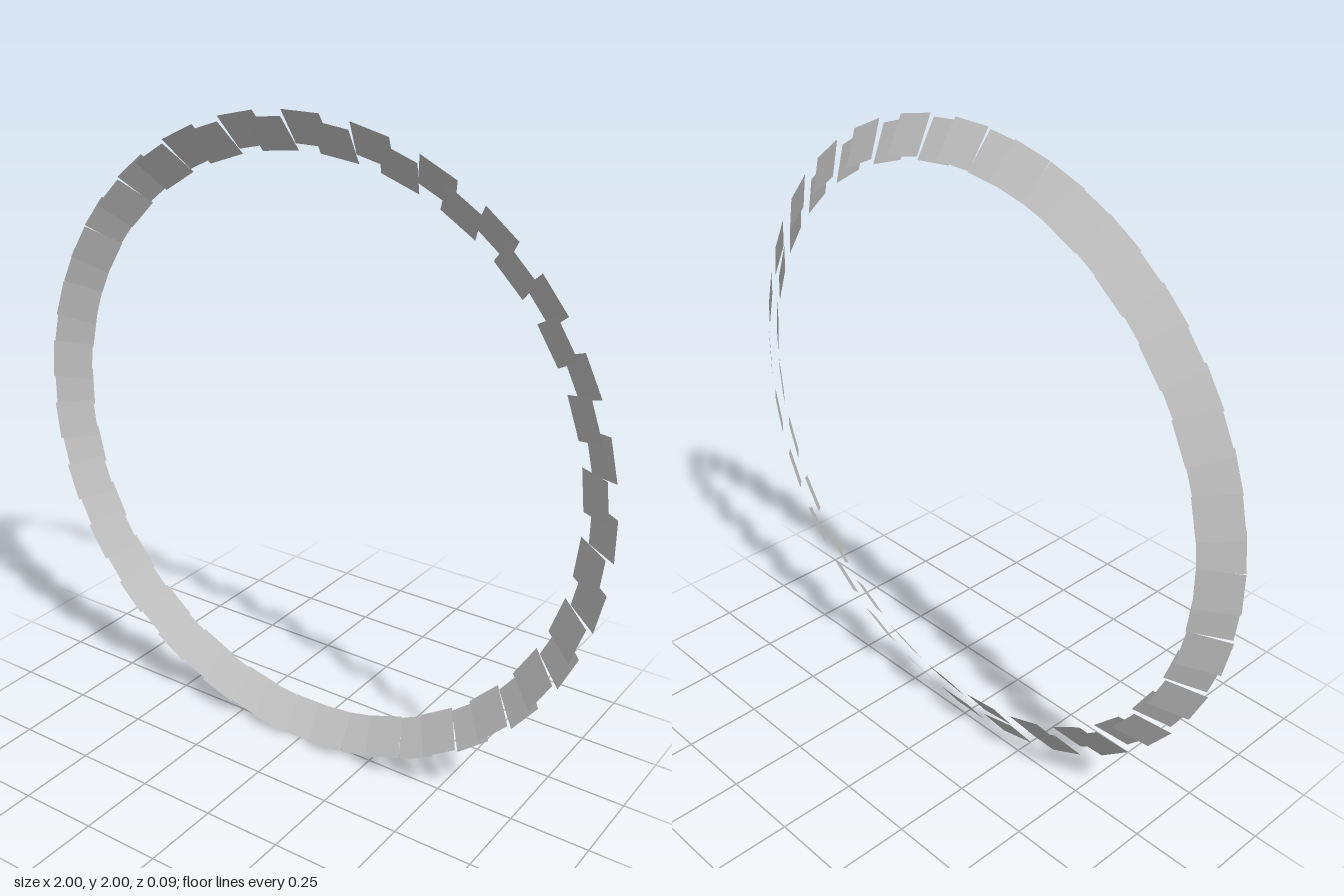
import * as THREE from 'three';

const COUNT = 56;       // tiles around the ring
const SIZE = 0.126;     // side of each square tile
const TILT = THREE.MathUtils.degToRad(35);
const GAP = 0.027;      // distance between the two tile layers, along the tile normal

export function createModel() {
  const ring = new THREE.Group();
  ring.name = 'tileRing';
  ring.position.y = 1;

  const material = new THREE.MeshStandardMaterial({
    color: 0xcccccc, side: THREE.DoubleSide, flatShading: true,
  });
  const tileGeometry = new THREE.PlaneGeometry(SIZE, SIZE);

  // the rear layer's outer edge touches radius 1
  const rearRadius = 1 - (SIZE / 2) * Math.cos(TILT);

  for (let i = 0; i < COUNT; i++) {
    const front = i % 2 === 1; // layers alternate
    const spoke = new THREE.Group();
    spoke.name = front ? 'frontTile' : 'rearTile';
    spoke.rotation.z = (i / COUNT) * Math.PI * 2;

    // tile leans so that its outer edge comes forward
    const tile = new THREE.Mesh(tileGeometry, material);
    tile.name = 'tile';
    tile.rotation.x = TILT;
    tile.position.set(
      0,
      rearRadius - (front ? GAP * Math.sin(TILT) : 0),
      (front ? 0.5 : -0.5) * GAP * Math.cos(TILT),
    );
    spoke.add(tile);
    ring.add(spoke);
  }

  const model = new THREE.Group();
  model.name = 'ringOfTiles';
  model.add(ring);
  return model;
}
